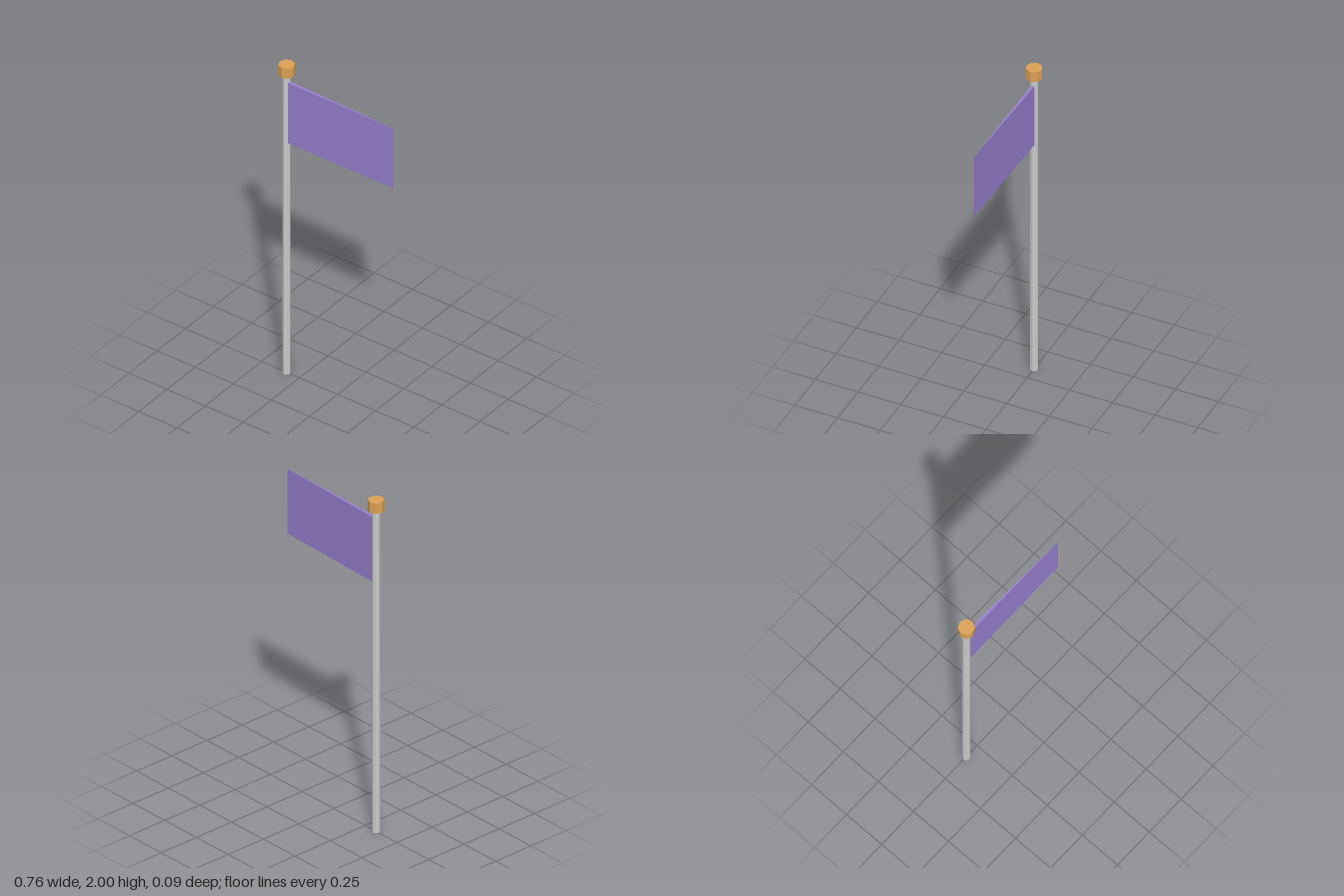
import * as THREE from 'three';

const POLE_X = -0.335;

function addPart(group, name, geometry, color) {
  const material = new THREE.MeshStandardMaterial({ color, flatShading: true });
  const mesh = new THREE.Mesh(geometry, material);
  mesh.name = name;
  group.add(mesh);
  return mesh;
}

export function createModel() {
  const model = new THREE.Group();
  model.name = 'flagpole';

  // Slim eight-sided pole
  const pole = addPart(model, 'pole', new THREE.CylinderGeometry(0.022, 0.022, 1.94, 8), 0xcccccc);
  pole.position.set(POLE_X, 0.97, 0);

  // Wider octagonal cap
  const cap = addPart(model, 'cap', new THREE.CylinderGeometry(0.045, 0.045, 0.063, 8), 0xdda255);
  cap.position.set(POLE_X, 1.9685, 0);

  // Flag: a thin wedge, flat in front and slanting at the back to a sharp free edge
  const plan = new THREE.Shape([
    new THREE.Vector2(POLE_X, -0.01),
    new THREE.Vector2(0.377, -0.01),
    new THREE.Vector2(POLE_X, 0.01),
  ]);
  const cloth = new THREE.ExtrudeGeometry(plan, { depth: 0.39, bevelEnabled: false });
  cloth.rotateX(-Math.PI / 2);
  const flag = addPart(model, 'flag', cloth, 0x9880d0);
  flag.position.y = 1.5;

  return model;
}
